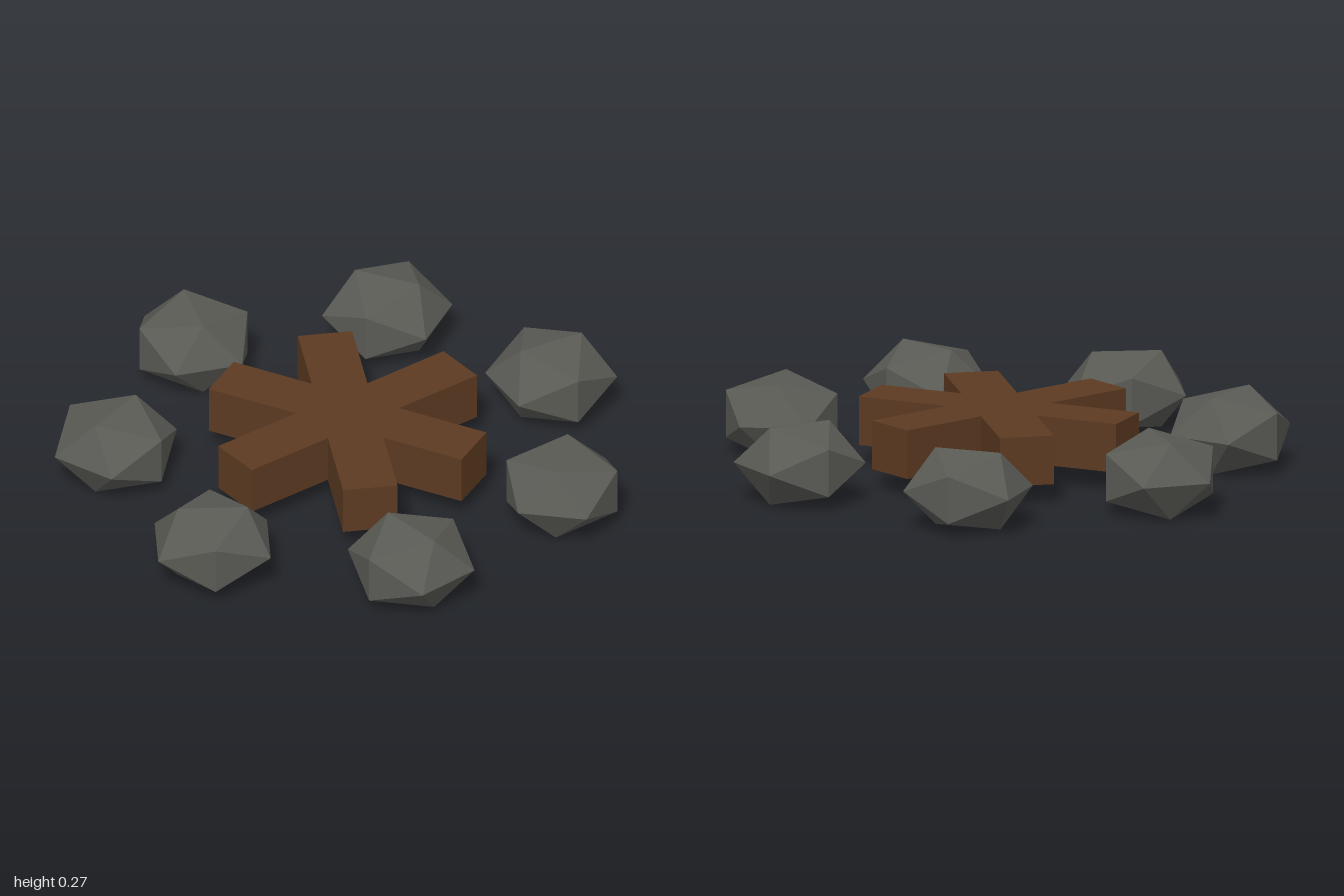
import * as THREE from 'three';

const CENTER_X = -0.024;   // the ring of seven is not symmetric in x
const STONE_COUNT = 7;
const RING_RADIUS = 0.8;
const STONE_RADIUS = 0.228;
const SQUASH = 0.7;

export function createModel() {
  const stoneGrey = new THREE.MeshStandardMaterial({ color: 0x5a5a55, flatShading: true });
  stoneGrey.name = 'stone grey';
  const woodBrown = new THREE.MeshStandardMaterial({ color: 0x5c3a21, flatShading: true });
  woodBrown.name = 'wood brown';

  const campfire = new THREE.Group();
  campfire.name = 'campfire';

  // Ring of squashed stones, each turned with its place in the ring
  const stoneRing = new THREE.Group();
  stoneRing.name = 'stoneRing';
  const stoneGeometry = new THREE.IcosahedronGeometry(STONE_RADIUS, 0);
  stoneGeometry.scale(1, SQUASH, 1);
  stoneGeometry.computeBoundingBox();
  stoneGeometry.translate(0, -stoneGeometry.boundingBox.min.y, 0);
  for (let i = 0; i < STONE_COUNT; i++) {
    const angle = (i / STONE_COUNT) * Math.PI * 2;
    const stone = new THREE.Mesh(stoneGeometry, stoneGrey);
    stone.name = `stone${i + 1}`;
    stone.position.set(Math.cos(angle) * RING_RADIUS, 0, Math.sin(angle) * RING_RADIUS);
    stone.rotation.y = angle;
    stoneRing.add(stone);
  }
  campfire.add(stoneRing);

  // Three square logs crossing at the middle
  const logs = new THREE.Group();
  logs.name = 'logs';
  const logGeometry = new THREE.BoxGeometry(0.976, 0.172, 0.19);
  [0.15, 1.23, -0.97].forEach((turn, i) => {
    const log = new THREE.Mesh(logGeometry, woodBrown);
    log.name = `log${i + 1}`;
    log.position.y = 0.156;
    log.rotation.y = turn;
    logs.add(log);
  });
  campfire.add(logs);

  stoneRing.position.x = CENTER_X;
  logs.position.x = CENTER_X;
  return campfire;
}
